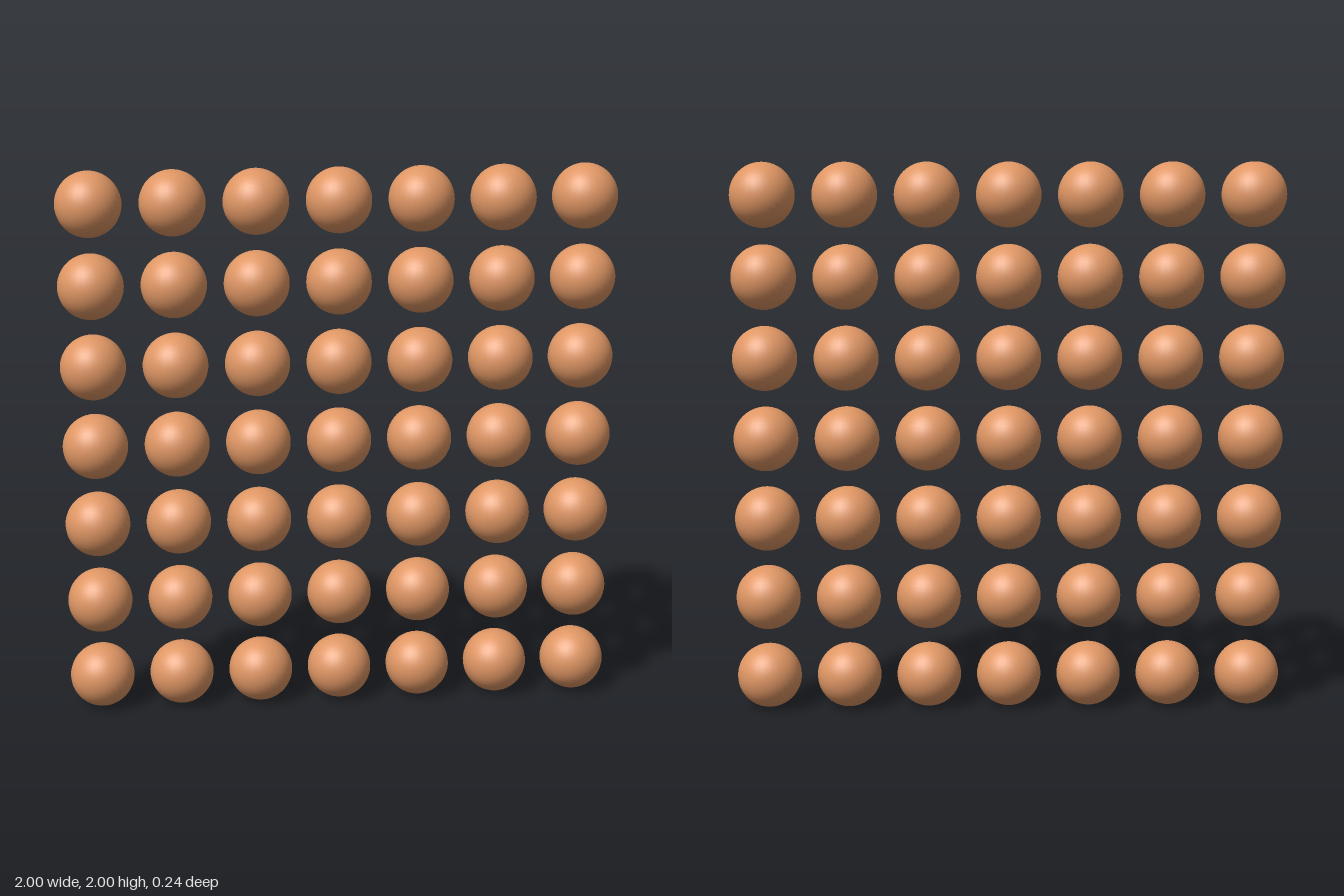
import * as THREE from 'three';

const COUNT = 7;                 // spheres per row and column
const SPACING = 2 / 6.8;         // centre to centre
const RADIUS = SPACING * 0.4;

export function createModel() {
  const model = new THREE.Group();
  model.name = 'sphereGrid';

  const geometry = new THREE.SphereGeometry(RADIUS, 32, 24);
  const material = new THREE.MeshStandardMaterial({ color: 0xdf9664 });

  // Upright square wall of separate spheres, built row by row from the ground
  for (let row = 0; row < COUNT; row++) {
    const rowGroup = new THREE.Group();
    rowGroup.name = `row${row + 1}`;
    rowGroup.position.y = RADIUS + row * SPACING;
    for (let col = 0; col < COUNT; col++) {
      const sphere = new THREE.Mesh(geometry, material);
      sphere.name = `sphere${col + 1}`;
      sphere.position.x = (col - (COUNT - 1) / 2) * SPACING;
      rowGroup.add(sphere);
    }
    model.add(rowGroup);
  }
  return model;
}
